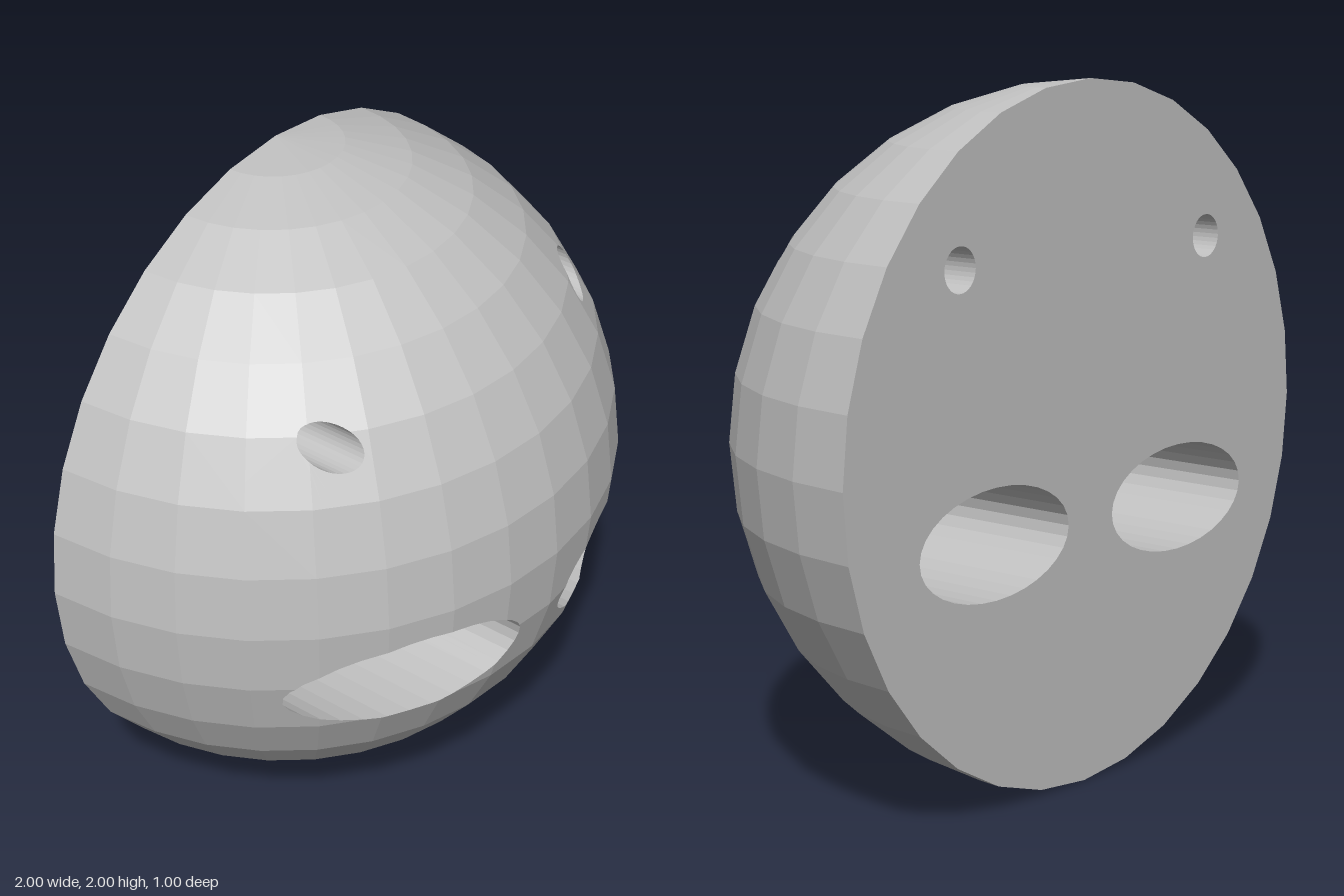
import * as THREE from 'three';

const BACK = -0.5, SEG = 16, HOLE_SEG = 32;

// Outline of an elliptical opening, anticlockwise seen from the front
function ellipse(cx, cy, rx, ry) {
  return Array.from({ length: HOLE_SEG }, (_, i) => {
    const a = (i / HOLE_SEG) * Math.PI * 2;
    return new THREE.Vector2(cx + rx * Math.cos(a), cy + ry * Math.sin(a));
  });
}

// Signed distance of p from the line a-b in the xy plane, positive inside the opening
function distance(p, a, b) {
  const dx = b.x - a.x, dy = b.y - a.y;
  return (dx * (p.y - a.y) - dy * (p.x - a.x)) / Math.hypot(dx, dy);
}

// Split a convex polygon along the line a-b
function split(poly, a, b) {
  const inside = [], outside = [];
  poly.forEach((p, i) => {
    const q = poly[(i + 1) % poly.length];
    const dp = distance(p, a, b), dq = distance(q, a, b);
    if (dp >= 0) inside.push(p);
    if (dp <= 0) outside.push(p);
    if (dp * dq < 0) {
      const m = p.clone().lerp(q, dp / (dp - dq));
      inside.push(m);
      outside.push(m);
    }
  });
  return { inside, outside };
}

// Cut an opening from a convex polygon: the pieces kept, and the plug removed
function cut(poly, hole) {
  const pieces = [];
  let plug = poly;
  for (let i = 0; i < hole.length && plug.length > 2; i++) {
    const s = split(plug, hole[i], hole[(i + 1) % hole.length]);
    if (s.outside.length > 2) pieces.push(s.outside);
    plug = s.inside;
  }
  return plug.length > 2 ? { pieces, plug } : { pieces: [poly], plug: [] };
}

const cutAll = (polys, holes) =>
  holes.reduce((list, hole) => list.flatMap((p) => cut(p, hole).pieces), polys);

// Flat-faced mesh from convex polygons
function polygonMesh(name, polys, material) {
  const points = [];
  const tri = new THREE.Triangle();
  for (const p of polys) {
    for (let i = 1; i < p.length - 1; i++) {
      tri.set(p[0], p[i], p[i + 1]);
      if (tri.getArea() > 1e-10) points.push(p[0], p[i], p[i + 1]);
    }
  }
  const geometry = new THREE.BufferGeometry().setFromPoints(points);
  geometry.computeVertexNormals();
  const mesh = new THREE.Mesh(geometry, material);
  mesh.name = name;
  return mesh;
}

export function createModel() {
  const group = new THREE.Group();
  group.name = 'mask';
  const grey = new THREE.MeshStandardMaterial({ color: 0xc0c0c0 });
  grey.name = 'grey';

  const openings = {
    rightEyeWall: ellipse(-0.433, 0.762, 0.316, 0.157),
    leftEyeWall: ellipse(0.395, 0.762, 0.314, 0.157),
    rightStrapHoleWall: ellipse(-0.553, 1.522, 0.063, 0.063),
    leftStrapHoleWall: ellipse(0.547, 1.522, 0.063, 0.063),
  };
  const holes = Object.values(openings);

  // Facets of the front half sphere
  const at = (i, j) => {
    const phi = (i / SEG) * Math.PI, theta = (j / SEG) * Math.PI;
    return new THREE.Vector3(
      -Math.cos(phi) * Math.sin(theta),
      1 + Math.cos(theta),
      BACK + Math.sin(phi) * Math.sin(theta),
    );
  };
  const facets = [];
  for (let i = 0; i < SEG; i++) {
    for (let j = 0; j < SEG; j++) {
      const quad = [at(i, j), at(i, j + 1), at(i + 1, j + 1), at(i + 1, j)];
      if (j === 0) quad.pop();
      if (j === SEG - 1) quad.splice(2, 1);
      facets.push(quad);
    }
  }
  group.add(polygonMesh('dome', cutAll(facets, holes), grey));

  // Flat back
  const disc = Array.from({ length: SEG * 2 }, (_, i) => {
    const a = (-i / SEG) * Math.PI;
    return new THREE.Vector3(Math.cos(a), 1 + Math.sin(a), BACK);
  });
  group.add(polygonMesh('backPlate', cutAll([disc], holes), grey));

  // Walls of each opening, from the dome straight through to the back
  for (const [name, hole] of Object.entries(openings)) {
    const walls = [];
    for (const facet of facets) {
      const { plug } = cut(facet, hole);
      plug.forEach((a, k) => {
        const b = plug[(k + 1) % plug.length];
        const onRim = hole.some((h, i) => {
          const next = hole[(i + 1) % hole.length];
          return Math.abs(distance(a, h, next)) < 1e-7 && Math.abs(distance(b, h, next)) < 1e-7;
        });
        if (onRim) walls.push([a, b, b.clone().setZ(BACK), a.clone().setZ(BACK)]);
      });
    }
    group.add(polygonMesh(name, walls, grey));
  }
  return group;
}
